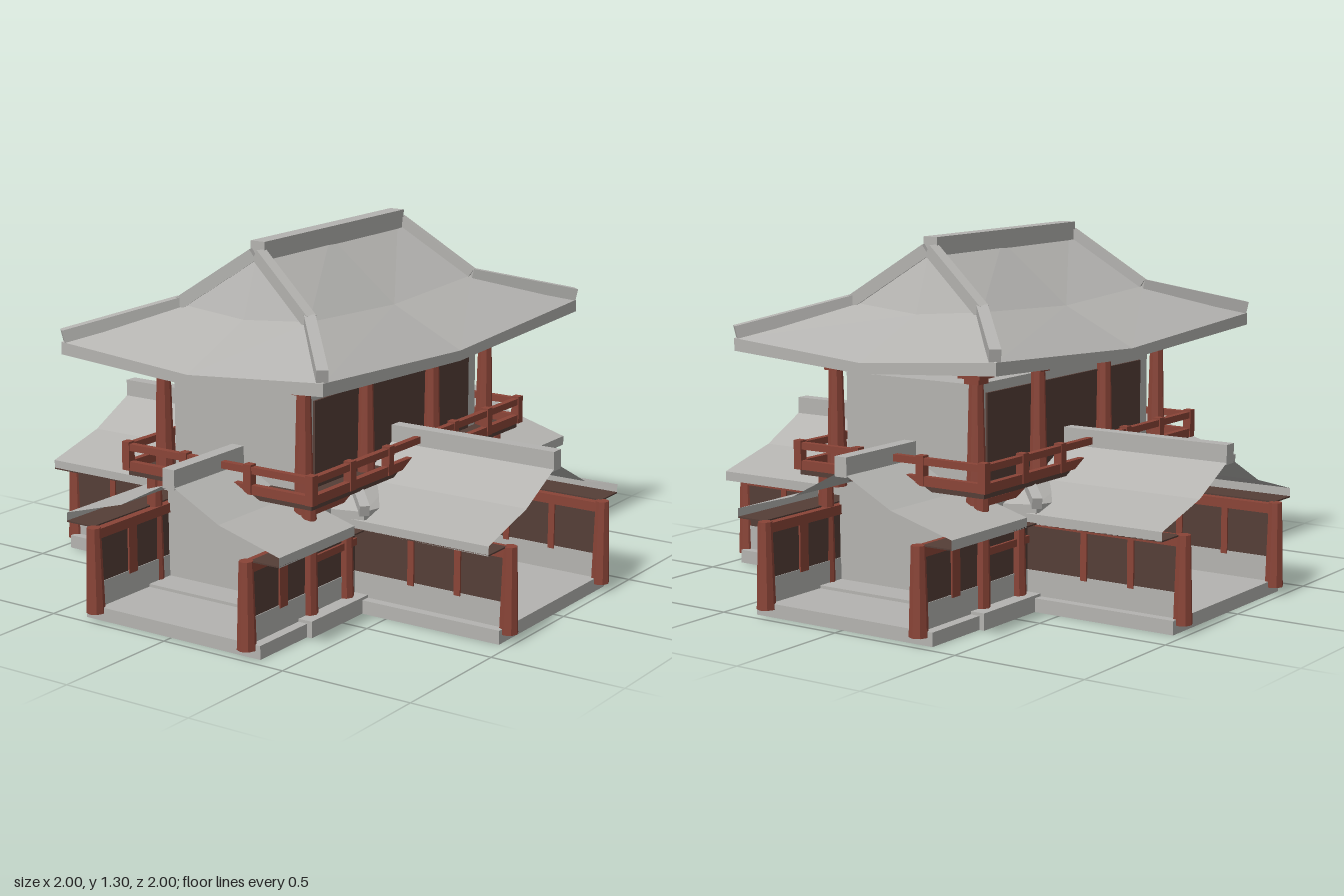
import * as THREE from 'three';

const make = (name, color, opts = {}) => {
  const m = new THREE.MeshStandardMaterial({ color, flatShading: true, ...opts });
  m.name = name;
  return m;
};

export function createModel() {
  const grey = make('grey stone and tile', 0xb4b3b0, { side: THREE.DoubleSide });
  const red = make('red timber', 0x8a4437);
  const brown = make('dark brown wood', 0x553e37, { side: THREE.DoubleSide });
  const model = new THREE.Group();

  const group = (name, parent = model) => {
    const g = new THREE.Group();
    g.name = name;
    parent.add(g);
    return g;
  };
  const add = (parent, name, geo, mat) => {
    const m = new THREE.Mesh(geo, mat);
    m.name = name;
    parent.add(m);
    return m;
  };
  // Box given by its min and max corners
  const box = (parent, name, mat, x0, x1, y0, y1, z0, z1) => {
    const m = add(parent, name, new THREE.BoxGeometry(x1 - x0, y1 - y0, z1 - z0), mat);
    m.position.set((x0 + x1) / 2, (y0 + y1) / 2, (z0 + z1) / 2);
    return m;
  };
  // Square beam between two points
  const beam = (parent, name, mat, a, b, w, h) => {
    const p = new THREE.Vector3(...a), q = new THREE.Vector3(...b);
    const m = add(parent, name, new THREE.BoxGeometry(w, h, p.distanceTo(q)), mat);
    m.position.copy(p).add(q).multiplyScalar(0.5);
    m.lookAt(q);
  };
  const column = (parent, x, z, y0, y1, r0, r1) => {
    const m = add(parent, 'column', new THREE.CylinderGeometry(r1, r0, y1 - y0, 8), red);
    m.position.set(x, (y0 + y1) / 2, z);
  };
  // Rectangular ring with its own height at corners and at mid sides
  const ring = (hx, hz, yc, ym) => [[0, 1], [1, 1], [1, 0], [1, -1], [0, -1], [-1, -1], [-1, 0], [-1, 1]]
    .map(([i, k]) => [i * hx, i && k ? yc : ym, k * hz]);
  // Surface through rows of points
  const loft = (rows, closed) => {
    const pos = [];
    for (let r = 0; r < rows.length - 1; r++) {
      const n = rows[r].length;
      for (let i = 0; i < (closed ? n : n - 1); i++) {
        const j = (i + 1) % n;
        const a = rows[r][i], b = rows[r][j], c = rows[r + 1][j], d = rows[r + 1][i];
        pos.push(...a, ...b, ...c, ...a, ...c, ...d);
      }
    }
    const g = new THREE.BufferGeometry();
    g.setAttribute('position', new THREE.Float32BufferAttribute(pos, 3));
    g.computeVertexNormals();
    return g;
  };

  // Cross-shaped base
  const base = group('base');
  box(base, 'sideWingFloor', grey, -0.96, 0.96, 0, 0.05, -0.38, 0.38);
  box(base, 'endWingFloor', grey, -0.38, 0.38, 0, 0.049, -0.96, 0.96);
  box(base, 'centreFloor', grey, -0.4, 0.4, 0, 0.06, -0.69, 0.69);

  // Lower hall with doors, columns and tie beams
  const hall = group('lowerHall');
  box(hall, 'lowerWalls', grey, -0.32, 0.32, 0.06, 0.43, -0.57, 0.57);
  for (const s of [-1, 1]) {
    box(hall, 'door', brown, s * 0.324 - 0.004, s * 0.324 + 0.004, 0.06, 0.335, -0.165, 0.165);
    for (const y of [0.25, 0.425]) {
      box(hall, 'tieBeam', red, s * 0.34 - 0.012, s * 0.34 + 0.012, y - 0.013, y + 0.013, -0.64, 0.64);
    }
    for (const z of [-0.62, -0.4, 0.4, 0.62]) {
      column(hall, s * 0.34, z, 0.05, Math.abs(z) > 0.5 ? 0.455 : 0.335, 0.032, 0.026);
    }
  }

  // One wing, built along +z and then turned
  const wing = (name, turn, inner, posts, postWidth) => {
    const g = group(name);
    g.rotation.y = turn;
    const profile = [[0.46, 0.335], [0.46, 0.37], [0.21, 0.44], [0, 0.55],
      [-0.21, 0.44], [-0.46, 0.37], [-0.46, 0.335]];
    add(g, 'wingRoof', loft([0.96, inner].map(z => profile.map(([x, y]) => [x, y, z])), false), grey);
    box(g, 'wingRidge', grey, -0.025, 0.025, 0.53, 0.6, inner, 0.96);
    for (const s of [-1, 1]) {
      box(g, 'eaveSoffit', brown, s * 0.4 - 0.06, s * 0.4 + 0.06, 0.335, 0.34, 0.34, 0.959);
      box(g, 'wallPlinth', grey, s * 0.33 - 0.015, s * 0.33 + 0.015, 0.05, 0.14, 0.33, 0.96);
      box(g, 'wallPanel', brown, s * 0.33 - 0.012, s * 0.33 + 0.012, 0.14, 0.3, 0.33, 0.96);
      box(g, 'wallBeam', red, s * 0.33 - 0.02, s * 0.33 + 0.02, 0.3, 0.335, 0.33, 0.97);
      for (const z of posts) {
        box(g, 'wallPost', red, s * 0.33 - 0.019, s * 0.33 + 0.019, 0.13, 0.3, z - postWidth / 2, z + postWidth / 2);
      }
      column(g, s * 0.33, 0.968, 0.03, 0.34, 0.034, 0.025);
    }
  };
  wing('frontWing', 0, 0.52, [0.78], 0.045);
  wing('backWing', Math.PI, 0.52, [0.78], 0.045);
  wing('leftWing', Math.PI / 2, 0.28, [0.58, 0.77], 0.025);
  wing('rightWing', -Math.PI / 2, 0.28, [0.58, 0.77], 0.025);

  // Skirt roof with upturned corners, under the balcony
  const skirt = group('skirtRoof');
  add(skirt, 'skirtSoffit', loft([ring(0.33, 0.33, 0.335, 0.335), ring(0.46, 0.46, 0.375, 0.335)], true), brown);
  add(skirt, 'skirtTiles', loft([ring(0.46, 0.46, 0.375, 0.335), ring(0.46, 0.46, 0.405, 0.365),
    ring(0.33, 0.33, 0.455, 0.435)], true), grey);
  for (const sx of [-1, 1]) for (const sz of [-1, 1]) {
    beam(skirt, 'skirtHip', grey, [sx * 0.33, 0.46, sz * 0.33], [sx * 0.465, 0.41, sz * 0.465], 0.035, 0.04);
  }

  // Balcony floor and railing
  const balcony = group('balcony');
  box(balcony, 'balconyFloor', brown, -0.4, 0.4, 0.455, 0.475, -0.69, 0.69);
  for (const s of [-1, 1]) {
    for (const [y0, y1] of [[0.475, 0.508], [0.548, 0.573]]) {
      box(balcony, 'endRail', red, -0.415, 0.415, y0, y1, s * 0.69 - 0.012, s * 0.69 + 0.012);
      box(balcony, 'sideRail', red, s * 0.4 - 0.012, s * 0.4 + 0.012, y0, y1, -0.705, 0.705);
    }
    for (const x of [-0.4, -0.14, 0.14, 0.4]) {
      box(balcony, 'railPost', red, x - 0.016, x + 0.016, 0.475, 0.58, s * 0.69 - 0.016, s * 0.69 + 0.016);
    }
    for (const z of [-0.46, -0.22, 0.22, 0.46]) {
      box(balcony, 'railPost', red, s * 0.4 - 0.016, s * 0.4 + 0.016, 0.475, 0.58, z - 0.016, z + 0.016);
    }
  }

  // Upper hall with window panels and bracketed columns
  const upper = group('upperHall');
  box(upper, 'upperWalls', grey, -0.28, 0.28, 0.43, 0.82, -0.57, 0.57);
  for (const s of [-1, 1]) {
    box(upper, 'windowPanel', brown, s * 0.284 - 0.004, s * 0.284 + 0.004, 0.46, 0.785, -0.51, 0.51);
    for (const z of [-0.6, -0.22, 0.22, 0.6]) {
      const x = s * 0.305;
      column(upper, x, z, 0.41, 0.845, 0.036, 0.025);
      box(upper, 'bracket', red, x - 0.03, x + 0.03, 0.83, 0.85, z - 0.03, z + 0.03);
      box(upper, 'bracketCap', red, x - 0.045, x + 0.045, 0.85, 0.878, z - 0.045, z + 0.045);
    }
  }

  // Hip-and-gable main roof
  const roof = group('mainRoof');
  add(roof, 'roofSoffit', loft([ring(0.3, 0.6, 0.868, 0.866), ring(0.56, 0.85, 0.905, 0.868)], true), brown);
  add(roof, 'roofTiles', loft([ring(0.56, 0.85, 0.905, 0.868), ring(0.56, 0.85, 0.95, 0.905),
    ring(0.28, 0.53, 1.065, 1.04), ring(0, 0.45, 1.26, 1.26)], true), grey);
  box(roof, 'mainRidge', grey, -0.03, 0.03, 1.235, 1.305, -0.445, 0.445);
  for (const sx of [-1, 1]) for (const sz of [-1, 1]) {
    const top = [sx * 0.01, 1.26, sz * 0.45], knee = [sx * 0.28, 1.07, sz * 0.53];
    beam(roof, 'gableRidge', grey, top, knee, 0.04, 0.045);
    beam(roof, 'hipRidge', grey, knee, [sx * 0.555, 0.972, sz * 0.848], 0.04, 0.045);
  }
  return model;
}
